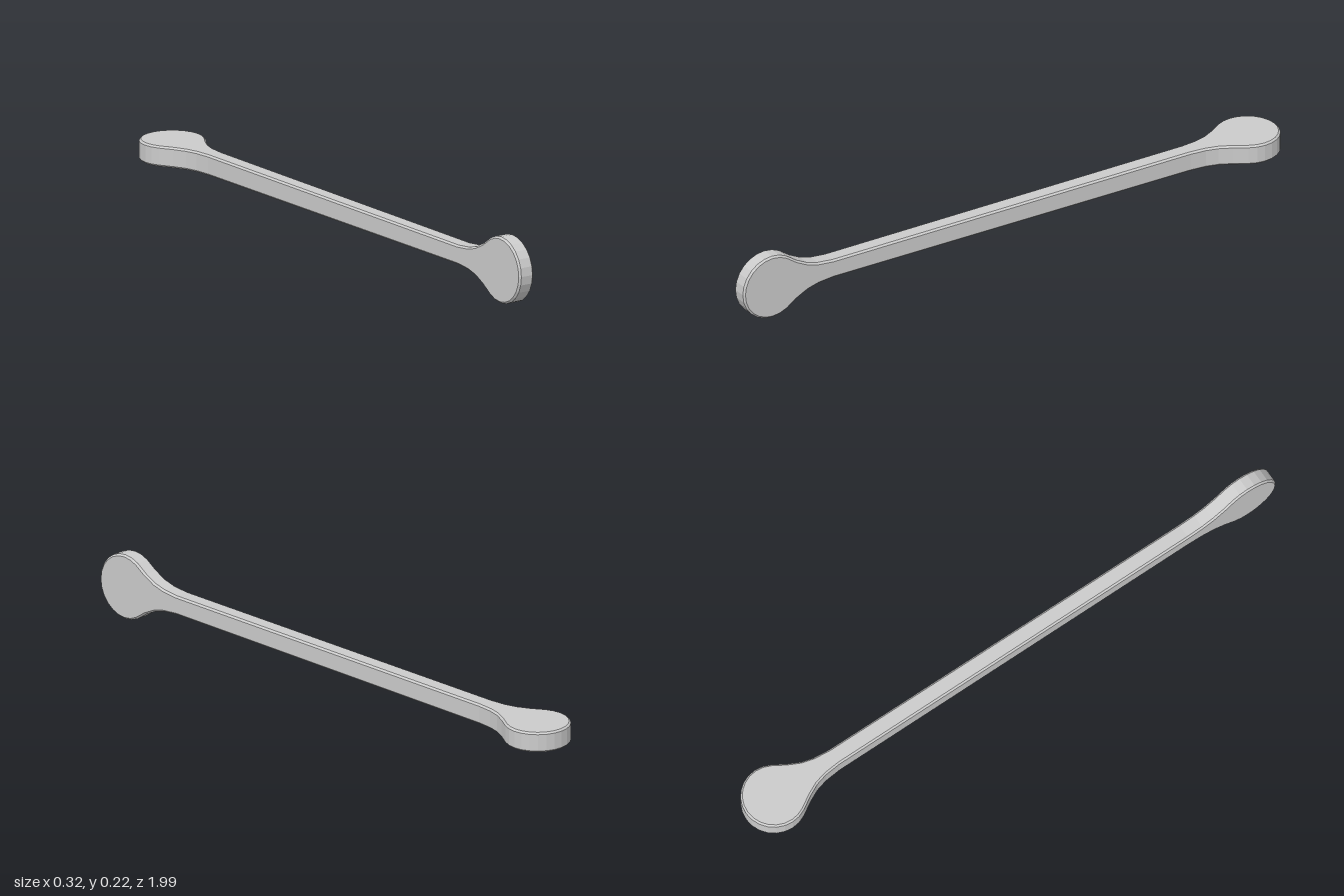
import * as THREE from 'three';

const CHAMFER = 0.006;

// Outline of one paddle end: [distance from tip, half width], round head easing into the shaft
function paddleOutline(radius, shaft) {
  const points = [];
  for (let deg = 0; deg <= 120; deg += 15) {
    const a = THREE.MathUtils.degToRad(deg);
    points.push([radius * (1 - Math.cos(a)), radius * Math.sin(a)]);
  }
  const neck = [[0.2, 0.47], [0.24, 0.21], [0.28, 0.07], [0.335, 0]];
  for (const [d, k] of neck) points.push([d, shaft + k * (radius - shaft)]);
  return points;
}

// Same outline moved inward along its normals, for the chamfered rim
function insetOutline(points) {
  return points.map(([d, w], i) => {
    if (i === 0) return [d + CHAMFER, 0];
    const [d0, w0] = points[i - 1];
    const [d1, w1] = points[Math.min(i + 1, points.length - 1)];
    const len = Math.hypot(d1 - d0, w1 - w0);
    return [d + CHAMFER * (w1 - w0) / len, Math.max(0, w - CHAMFER * (d1 - d0) / len)];
  });
}

// Eight-point chamfered section; side = points at +-x, cap = points at +-y, each [x, y, z]
function section(side, cap) {
  const [sx, sy, sz] = side;
  const [cx, cy, cz] = cap;
  return [
    [sx, -sy, sz], [sx, sy, sz], [cx, cy, cz], [-cx, cy, cz],
    [-sx, sy, sz], [-sx, -sy, sz], [-cx, -cy, cz], [cx, -cy, cz],
  ];
}

function buildBar() {
  const rings = [];

  // Back paddle lies flat
  const back = paddleOutline(0.105, 0.029);
  const backInset = insetOutline(back);
  const backHalf = 0.0335;
  back.forEach(([d, w], i) => {
    const [di, wi] = backInset[i];
    rings.push(section([w, backHalf - CHAMFER, -1 + d], [wi, backHalf, -1 + di]));
  });

  // Front paddle stands upright, listed from the neck to the tip
  const front = paddleOutline(0.108, 0.0315);
  const frontInset = insetOutline(front);
  const frontHalf = 0.0275;
  for (let i = front.length - 1; i >= 0; i--) {
    const [d, w] = front[i];
    const [di, wi] = frontInset[i];
    rings.push(section([frontHalf, wi, 1 - di], [frontHalf - CHAMFER, w, 1 - d]));
  }

  // Skin the sections
  const index = [];
  for (let r = 0; r < rings.length - 1; r++) {
    for (let i = 0; i < 8; i++) {
      const j = (i + 1) % 8;
      const a = r * 8 + i, b = r * 8 + j;
      index.push(a, b, b + 8, a, b + 8, a + 8);
    }
  }
  const geometry = new THREE.BufferGeometry();
  geometry.setAttribute('position', new THREE.Float32BufferAttribute(rings.flat(2), 3));
  geometry.setIndex(index);
  geometry.computeVertexNormals();
  return geometry;
}

export function createModel() {
  const group = new THREE.Group();
  group.name = 'twistedPaddleBar';
  const material = new THREE.MeshStandardMaterial({ color: 0xcccccc, flatShading: true });
  const bar = new THREE.Mesh(buildBar(), material);
  bar.name = 'barWithPaddleEnds';
  bar.position.set(0.036, 0.109, 0);
  bar.rotation.y = 0.098;
  group.add(bar);
  return group;
}
